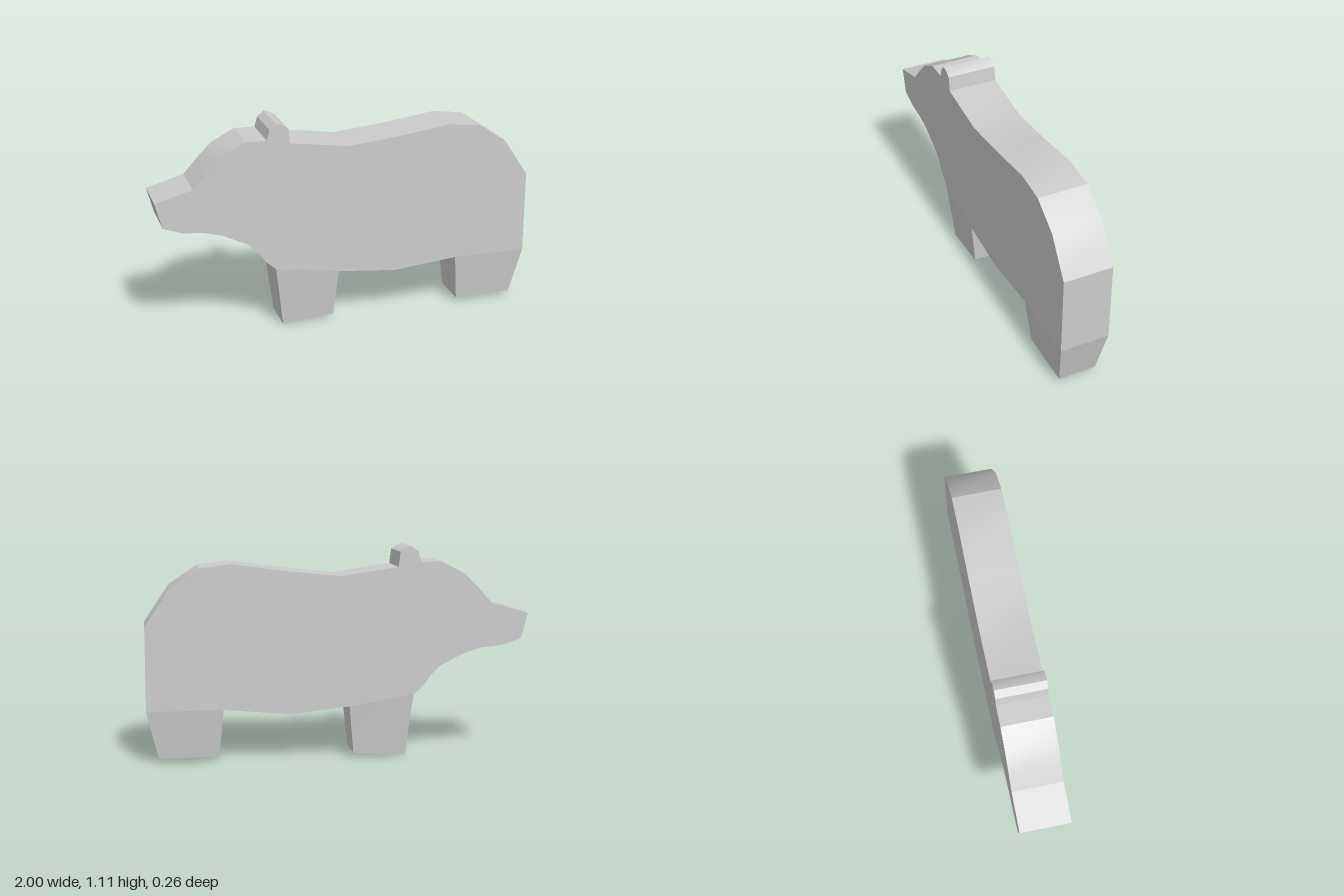
import * as THREE from 'three';
import { toCreasedNormals } from 'three/addons/utils/BufferGeometryUtils.js';

const HALF = 0.13; // half thickness of the slab body
const FOOT = 0.1;  // half thickness at the feet

const material = new THREE.MeshStandardMaterial({ color: 0xcccccc });

// Side outline, counter-clockwise from the chest
const outline = [
  // belly
  [-0.39, 0.33], [-0.05, 0.275], [0.26, 0.243], [0.605, 0.275], [1, 0.275],
  // rump and back
  [1, 0.71], [0.87, 0.905], [0.72, 1.005], [0.555, 1.025], [0.27, 0.985], [0, 0.957], [-0.305, 1.0],
  // ear
  [-0.315, 1.078], [-0.34, 1.095], [-0.375, 1.106], [-0.41, 1.078], [-0.425, 1.025],
  // forehead and snout
  [-0.535, 1.025], [-0.655, 0.963], [-0.735, 0.883], [-0.805, 0.805], [-1, 0.75], [-0.965, 0.617],
  // jaw and throat
  [-0.865, 0.582], [-0.76, 0.572], [-0.665, 0.546], [-0.53, 0.48], [-0.48, 0.43], [-0.44, 0.373],
];

function makeBody() {
  const shape = new THREE.Shape(outline.map(([x, y]) => new THREE.Vector2(x, y)));
  const geometry = new THREE.ExtrudeGeometry(shape, { depth: 2 * HALF, bevelEnabled: false });
  geometry.translate(0, 0, -HALF);
  const body = new THREE.Mesh(toCreasedNormals(geometry, 0.45), material);
  body.name = 'body';
  return body;
}

// Box whose corners move to a tapering block; corners are [x, y] pairs
function makeLeg(name, topA, topB, footA, footB) {
  const geometry = new THREE.BoxGeometry(1, 1, 1);
  const p = geometry.attributes.position;
  for (let i = 0; i < p.count; i++) {
    const top = p.getY(i) > 0;
    const [a, b] = top ? [topA, topB] : [footA, footB];
    const [x, y] = p.getX(i) < 0 ? a : b;
    p.setXYZ(i, x, y, Math.sign(p.getZ(i)) * (top ? HALF : FOOT));
  }
  geometry.computeVertexNormals();
  const leg = new THREE.Mesh(geometry, material);
  leg.name = name;
  return leg;
}

export function createModel() {
  const bear = new THREE.Group();
  bear.name = 'bear';
  bear.add(
    makeBody(),
    makeLeg('frontLeg', [-0.39, 0.33], [-0.05, 0.275], [-0.35, 0], [-0.075, 0.02]),
    makeLeg('backLeg', [0.605, 0.275], [1, 0.275], [0.63, 0.022], [0.94, 0.022]),
  );
  return bear;
}
